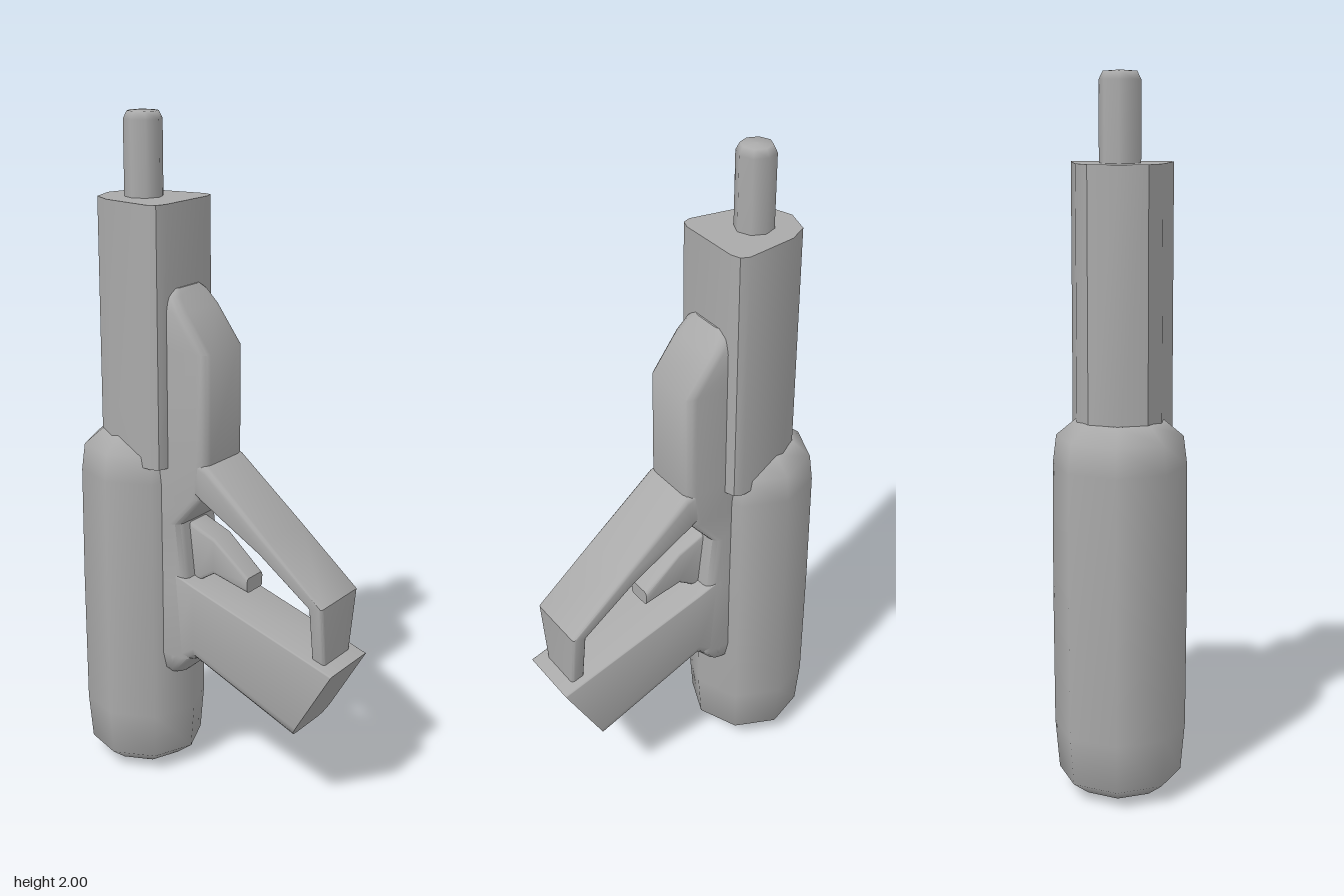
import * as THREE from 'three';
import { toCreasedNormals } from 'three/addons/utils/BufferGeometryUtils.js';

// Rounded rectangle spanning points a to b in the xy plane, hw = half width in z.
// ra and rb round the corners at each end.
function section(a, b, hw, ra, rb) {
  const A = new THREE.Vector3(a[0], a[1], 0), B = new THREE.Vector3(b[0], b[1], 0);
  const len = A.distanceTo(B), dir = B.clone().sub(A).normalize();
  const pts = [];
  const corner = (u, z, r, start) => {
    for (let i = 0; i <= 3; i++) {
      const t = start + (i / 3) * Math.PI / 2;
      const p = A.clone().addScaledVector(dir, u + r * Math.cos(t));
      p.z = z + r * Math.sin(t);
      pts.push(p);
    }
  };
  corner(len - rb, hw - rb, rb, 0);
  corner(ra, hw - ra, ra, Math.PI / 2);
  corner(ra, ra - hw, ra, Math.PI);
  corner(len - rb, rb - hw, rb, Math.PI * 1.5);
  return pts;
}

// Skin over a row of equal-length rings, capped at both ends and wound outwards.
function loft(rings, crease = 0.7) {
  const n = rings[0].length, tris = [];
  for (let r = 0; r < rings.length - 1; r++) {
    for (let i = 0; i < n; i++) {
      const j = (i + 1) % n, p = rings[r], q = rings[r + 1];
      tris.push([p[i], p[j], q[j]], [p[i], q[j], q[i]]);
    }
  }
  const cap = (ring, flip) => {
    const c = new THREE.Vector3();
    ring.forEach(p => c.addScaledVector(p, 1 / n));
    ring.forEach((p, i) => {
      const q = ring[(i + 1) % n];
      tris.push(flip ? [c, q, p] : [c, p, q]);
    });
  };
  cap(rings[0], true);
  cap(rings[rings.length - 1], false);
  let volume = 0;
  const cross = new THREE.Vector3();
  tris.forEach(([a, b, c]) => { volume += a.dot(cross.crossVectors(b, c)); });
  const pos = [];
  tris.forEach(t => (volume < 0 ? [t[0], t[2], t[1]] : t).forEach(p => pos.push(p.x, p.y, p.z)));
  const g = new THREE.BufferGeometry();
  g.setAttribute('position', new THREE.Float32BufferAttribute(pos, 3));
  return toCreasedNormals(g, crease);
}

export function createModel() {
  const group = new THREE.Group();
  const metal = new THREE.MeshStandardMaterial({ color: 0xaaaaaa });
  metal.name = 'greyMetal';
  const add = (name, geometry) => {
    const mesh = new THREE.Mesh(geometry, metal);
    mesh.name = name;
    group.add(mesh);
    return mesh;
  };
  const lathe = (name, profile, x) => {
    const g = new THREE.LatheGeometry(profile.map(p => new THREE.Vector2(...p)), 8);
    add(name, g).position.x = x;
  };

  // Eight-sided rounded rear housing
  lathe('rearHousing', [[0, 0.005], [0.12, 0.02], [0.172, 0.06], [0.184, 0.2], [0.186, 0.6],
    [0.184, 0.95], [0.174, 1.03], [0.12, 1.075], [0, 1.08]], -0.273);

  // Thin barrel with a chamfered tip
  lathe('barrel', [[0.056, 1.7], [0.056, 1.975], [0.045, 1.997], [0, 2]], -0.255);

  // Slide: rounded back, flat face towards the grip side
  const half = [[-0.36, 0.08], [-0.3, 0.115], [-0.14, 0.14], [-0.115, 0.13], [-0.105, 0.1]];
  const outline = [[-0.385, 0], ...half, ...half.slice().reverse().map(([x, z]) => [x, -z])];
  add('slide', loft([1.0, 1.76].map(y => outline.map(([x, z]) => new THREE.Vector3(x, y, z)))));

  // Frame strip: height, outer x, half width
  const frame = [[1.52, -0.1, 0.07], [1.5, -0.085, 0.09], [1.46, -0.055, 0.1], [1.35, 0.025, 0.1],
    [1.03, 0.025, 0.1], [0.92, 0.01, 0.1], [0.83, -0.07, 0.1], [0.65, -0.05, 0.1],
    [0.41, -0.03, 0.1], [0.36, -0.075, 0.09], [0.34, -0.09, 0.07]];
  add('frame', loft(frame.map(([y, x, w]) => section([-0.2, y], [x, y], w, 0.005, 0.03))));

  // Grip: square upper edges, rounded lower edges
  add('grip', loft([
    section([-0.1, 0.68], [-0.1, 0.36], 0.1, 0.005, 0.04),
    section([-0.02, 0.65], [-0.02, 0.41], 0.1, 0.005, 0.04),
    section([0.455, 0.49], [0.32, 0.26], 0.1, 0.005, 0.04),
  ]));

  // Trigger guard: sloping arm and tapered end bar
  add('triggerGuard', loft([
    section([-0.01, 0.935], [0.0, 1.035], 0.1, 0.01, 0.02),
    section([0.01, 0.92], [0.025, 1.025], 0.1, 0.01, 0.02),
    section([0.21, 0.802], [0.235, 0.845], 0.1, 0.008, 0.012),
    section([0.378, 0.678], [0.42, 0.685], 0.1, 0.005, 0.01),
    section([0.375, 0.5], [0.415, 0.49], 0.07, 0.005, 0.01),
  ]));

  // Trigger
  add('trigger', loft([
    section([-0.08, 0.83], [-0.05, 0.64], 0.045, 0.01, 0.01),
    section([0.015, 0.79], [0.015, 0.68], 0.045, 0.01, 0.01),
    section([0.132, 0.69], [0.132, 0.645], 0.04, 0.01, 0.01),
  ]));

  return group;
}
